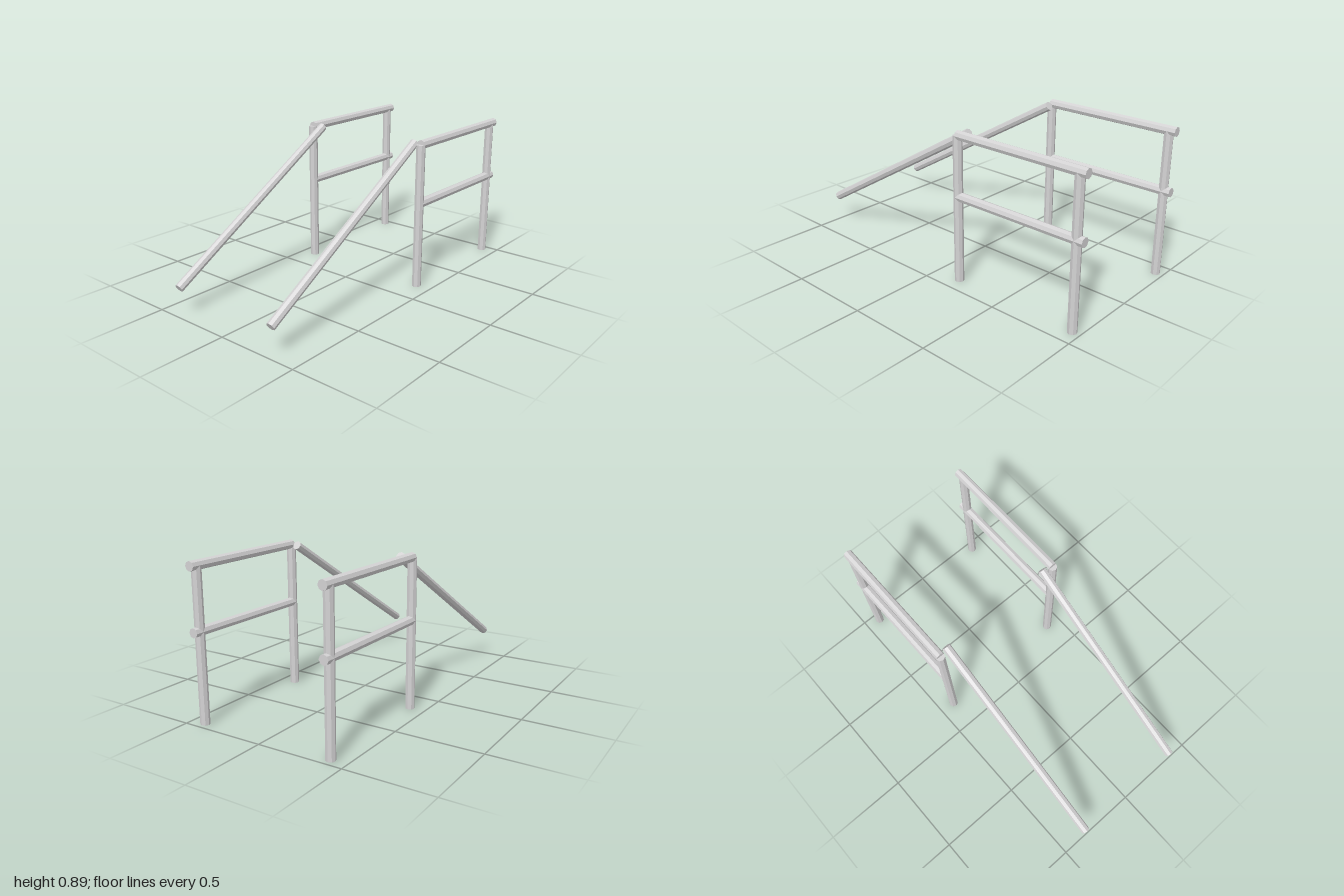
import * as THREE from 'three';

const UP = new THREE.Vector3(0, 1, 0);

export function createModel() {
  const model = new THREE.Group();
  model.name = 'handrails';
  const steel = new THREE.MeshStandardMaterial({ color: 0xd3d2d3 });
  steel.name = 'light grey steel';
  steel.flatShading = true;

  // Octagonal tube between two [x, y, z] points
  function tube(parent, name, radius, from, to) {
    const a = new THREE.Vector3(...from);
    const b = new THREE.Vector3(...to);
    const dir = b.clone().sub(a);
    const mesh = new THREE.Mesh(new THREE.CylinderGeometry(radius, radius, dir.length(), 8), steel);
    mesh.name = name;
    mesh.position.copy(a).add(b).multiplyScalar(0.5);
    mesh.quaternion.setFromUnitVectors(UP, dir.normalize());
    parent.add(mesh);
  }

  const frontZ = -0.173, backZ = -0.953, topY = 0.862, midY = 0.514;

  for (const [side, s] of [['left', 1], ['right', -1]]) {
    const rail = new THREE.Group();
    rail.name = side + 'Handrail';
    const x = 0.407 * s;
    // Upright posts
    tube(rail, 'frontPost', 0.0268, [x, 0, frontZ], [x, topY, frontZ]);
    tube(rail, 'backPost', 0.0268, [x, 0, backZ], [x, topY, backZ]);
    // Level rails
    tube(rail, 'topRail', 0.0275, [x, topY, frontZ], [x, topY, -1]);
    tube(rail, 'middleRail', 0.0275, [x, midY, frontZ], [x, midY, -1]);
    // Sloping stair rail, set inside the posts
    tube(rail, 'slopingRail', 0.026, [0.347 * s, 0.169, 0.987], [0.347 * s, 0.862, -0.197]);
    model.add(rail);
  }
  return model;
}
